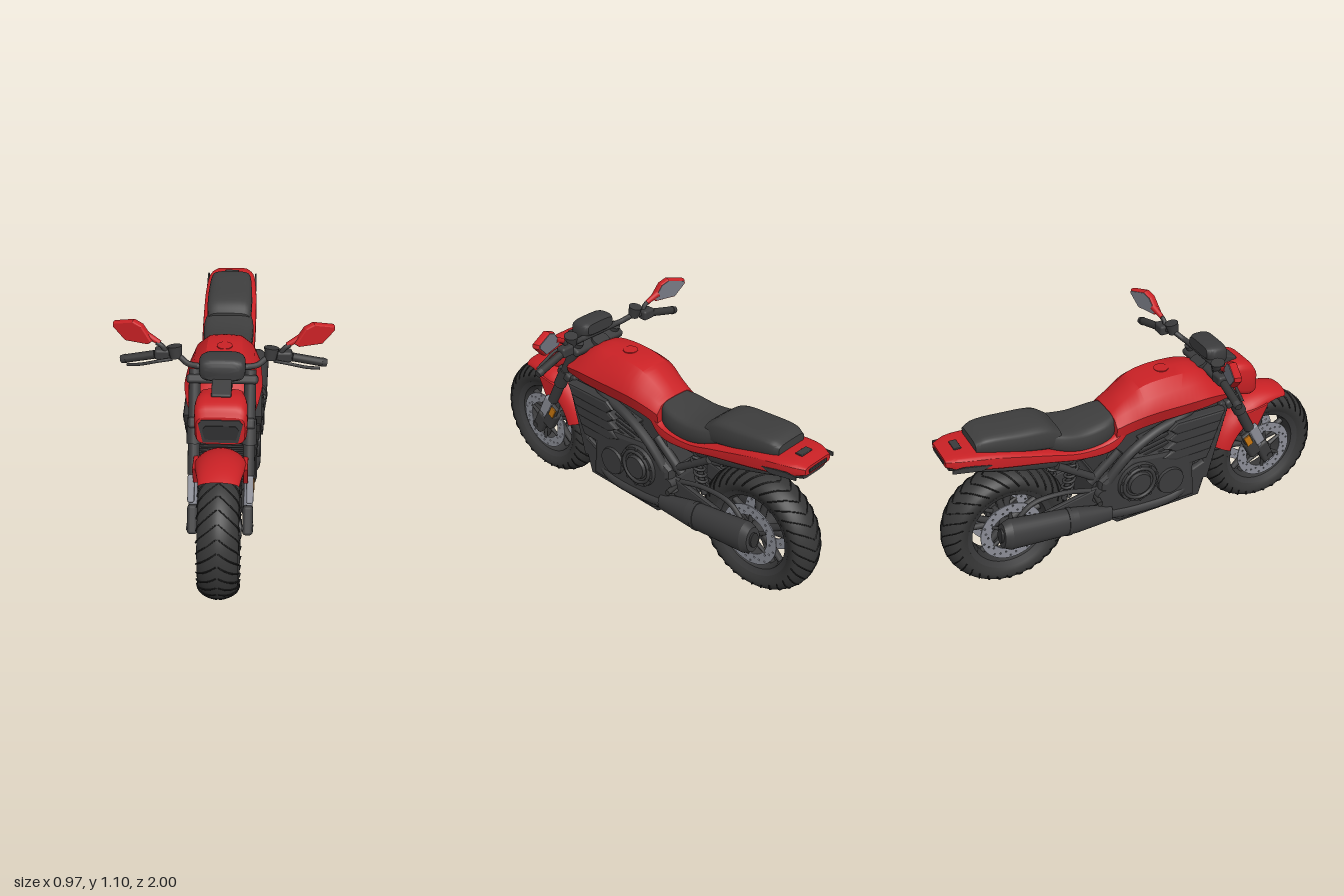
import * as THREE from 'three';
import { toCreasedNormals } from 'three/addons/utils/BufferGeometryUtils.js';
import { RoundedBoxGeometry } from 'three/addons/geometries/RoundedBoxGeometry.js';
import { ParametricGeometry } from 'three/addons/geometries/ParametricGeometry.js';

const V = (x, y, z) => new THREE.Vector3(x, y, z);
const mat = (name, color, side = THREE.FrontSide) => {
  const m = new THREE.MeshStandardMaterial({ color, side });
  m.name = name;
  return m;
};

// cylinder between two points
function rod(a, b, r1, r2 = r1, sides = 16) {
  const A = V(...a), B = V(...b), d = B.clone().sub(A);
  const g = new THREE.CylinderGeometry(r2, r1, d.length(), sides);
  g.applyQuaternion(new THREE.Quaternion().setFromUnitVectors(V(0, 1, 0), d.normalize()));
  const c = A.add(B).multiplyScalar(0.5);
  return g.translate(c.x, c.y, c.z);
}
const box = (w, h, d, x, y, z, tilt = 0, r = 0.008) =>
  new RoundedBoxGeometry(w, h, d, 2, r).rotateX(tilt).translate(x, y, z);
const tube = (pts, r, n = 32) =>
  new THREE.TubeGeometry(new THREE.CatmullRomCurve3(pts.map(p => V(...p))), n, r, 10);
const shapeOf = pts => new THREE.Shape(pts.map(p => new THREE.Vector2(...p)));

// side profile given as [z, y], extruded across x and centred on cx
function sidePlate(pts, width, cx = 0, bevel = 0.01) {
  const depth = width - 2 * bevel;
  const g = new THREE.ExtrudeGeometry(shapeOf(pts), { depth, bevelSize: bevel, bevelThickness: bevel, bevelSegments: 2 });
  return g.translate(0, 0, -depth / 2).rotateY(-Math.PI / 2).translate(cx, 0, 0);
}

// rounded-box half outline: [z, top, bottom, half width]
const oval = (z, top, bottom, hw, n = 4) => [z, Array.from({ length: 13 }, (_, i) => {
  const t = i * Math.PI / 12, c = Math.cos(t);
  return [hw * Math.abs(Math.sin(t)) ** (2 / n) * (i % 12 ? 1 : 0),
    (top + bottom) / 2 + (top - bottom) / 2 * Math.sign(c) * Math.abs(c) ** (2 / n)];
})];

// skin over mirrored half outlines, ordered from front to back
function loft(sections, sub = 5, crease = 0.55) {
  const full = sections.map(([z, h]) =>
    [...h, ...h.slice(1, -1).reverse().map(([x, y]) => [-x, y])].map(([x, y]) => V(x, y, z)));
  const n = full[0].length, rows = (sections.length - 1) * sub, pos = [], idx = [];
  const curves = full[0].map((_, j) => new THREE.CatmullRomCurve3(full.map(r => r[j])));
  for (let i = 0; i <= rows; i++) for (const c of curves) pos.push(...c.getPoint(i / rows).toArray());
  for (let i = 0; i < rows; i++) for (let j = 0; j < n; j++) {
    const k = (j + 1) % n, a = i * n + j, b = i * n + k;
    idx.push(a, b, a + n, b, b + n, a + n);
  }
  for (const [i, flip] of [[0, true], [rows, false]]) {
    const c = pos.length / 3, s = i * n, h = n / 2;
    pos.push(0, (pos[s * 3 + 1] + pos[(s + h) * 3 + 1]) / 2, pos[s * 3 + 2]);
    for (let j = 0; j < n; j++) {
      const a = s + j, b = s + (j + 1) % n;
      idx.push(c, flip ? b : a, flip ? a : b);
    }
  }
  const g = new THREE.BufferGeometry();
  g.setAttribute('position', new THREE.Float32BufferAttribute(pos, 3));
  g.setIndex(idx);
  return toCreasedNormals(g, crease);
}

// mirrored copy across x with the corner order restored
function mirrored(geo) {
  const g = geo.index ? geo.toNonIndexed() : geo.clone();
  g.scale(-1, 1, 1);
  for (const a of Object.values(g.attributes)) for (let i = 0; i < a.count; i += 3) for (let k = 0; k < a.itemSize; k++) {
    const t = a.getComponent(i + 1, k);
    a.setComponent(i + 1, k, a.getComponent(i + 2, k));
    a.setComponent(i + 2, k, t);
  }
  return g;
}

export function createModel() {
  const red = mat('red paint', 0xca2125), redOpen = mat('red fender paint', 0xca2125, THREE.DoubleSide);
  const dark = mat('dark metal', 0x3b3b3c), rubber = mat('tyre rubber', 0x363636), groove = mat('tread groove', 0x222222);
  const seatMat = mat('seat cover', 0x3e3e3e), silver = mat('silver metal', 0x8b8d96);
  const glass = mat('mirror glass', 0x777a84), amber = mat('amber reflector', 0xc9770f), lampMat = mat('lamp lens', 0x303031);
  const root = new THREE.Group();
  const add = (name, geo, m, parent = root) => {
    const mesh = new THREE.Mesh(geo, m);
    mesh.name = name;
    parent.add(mesh);
  };
  const pair = (name, geo, m, parent = root) => {
    add(name + 'Left', geo, m, parent);
    add(name + 'Right', mirrored(geo), m, parent);
  };

  // wheels: tyre, tread, rim, spokes and drilled discs
  const wheel = (name, z) => {
    const w = new THREE.Group();
    w.name = name;
    w.position.set(0, 0.309, z);
    root.add(w);
    const half = [[0.2, 0.066], [0.225, 0.081], [0.25, 0.087], [0.272, 0.078], [0.291, 0.055], [0.303, 0.028], [0.308, 0]];
    const spline = new THREE.SplineCurve([...half.map(([r, x]) => new THREE.Vector2(r, -x)),
      ...half.slice(0, -1).reverse().map(([r, x]) => new THREE.Vector2(r, x))]);
    add('tyre', new THREE.LatheGeometry(spline.getPoints(28), 72).rotateZ(Math.PI / 2), rubber, w);
    for (let i = 0; i < 32; i++) {
      const pts = half.slice(2).map(([r, x], k) => {
        const t = i * Math.PI / 16 + k * 0.075;
        return [x + 0.003, r * Math.cos(t), -r * Math.sin(t)];
      });
      pair('treadGroove', new THREE.TubeGeometry(new THREE.CatmullRomCurve3(pts.map(p => V(...p))), 8, 0.0035, 4), groove, w);
    }
    const rim = [[0.185, -0.06], [0.212, -0.074], [0.212, 0.074], [0.185, 0.06], [0.175, 0], [0.185, -0.06]];
    add('rim', toCreasedNormals(new THREE.LatheGeometry(rim.map(p => new THREE.Vector2(...p)), 64).rotateZ(Math.PI / 2), 0.5), dark, w);
    add('hub', rod([-0.095, 0, 0], [0.095, 0, 0], 0.04, 0.04, 24), dark, w);
    for (let i = 0; i < 5; i++) for (const s of [-0.16, 0.16]) {
      const t = i * Math.PI * 0.4;
      add('spoke', rod([0, 0.03 * Math.cos(t), 0.03 * Math.sin(t)],
        [0, 0.19 * Math.cos(t + s), 0.19 * Math.sin(t + s)], 0.02, 0.014, 8), dark, w);
    }
    const ring = new THREE.Shape().absarc(0, 0, 0.152, 0, Math.PI * 2);
    ring.holes.push(new THREE.Path().absarc(0, 0, 0.1, 0, Math.PI * 2));
    for (let i = 0; i < 30; i++) {
      const t = i * Math.PI / 15, r = [0.116, 0.128, 0.14][i % 3];
      ring.holes.push(new THREE.Path().absarc(r * Math.cos(t), r * Math.sin(t), 0.0045, 0, Math.PI * 2));
    }
    const disc = new THREE.ExtrudeGeometry(ring, { depth: 0.006, bevelEnabled: false, curveSegments: 24 });
    pair('brakeDisc', disc.rotateY(Math.PI / 2).translate(0.074, 0, 0), silver, w);
    for (let i = 0; i < 6; i++) {
      const t = i * Math.PI / 3;
      pair('discCarrier', rod([0.077, 0, 0], [0.077, 0.108 * Math.cos(t), 0.108 * Math.sin(t)], 0.014, 0.008, 8), dark, w);
    }
  };
  wheel('frontWheel', 0.69);
  wheel('rearWheel', -0.692);

  // front fender arched over the tyre
  add('frontFender', new ParametricGeometry((u, v, p) => {
    const t = (70 + 90 * u) * Math.PI / 180, s = (v * 2 - 1) * Math.PI / 2, bulge = Math.sin(Math.PI * u);
    const w = 0.085 + 0.03 * Math.min(1, u * 2.5);
    const r = 0.338 + 0.01 * bulge - (0.03 + 0.07 * Math.min(1, u * 1.6)) * (1 - Math.cos(s));
    p.set(w * Math.sin(s), 0.309 + r * Math.sin(t), 0.69 + r * Math.cos(t));
  }, 24, 20), redOpen);
  pair('fenderBracket', sidePlate([[0.67, 0.6], [0.54, 0.58], [0.57, 0.47], [0.62, 0.5]], 0.02, 0.108, 0.004), red);

  // forks, clamps and brake calipers
  const tilt = -0.47;
  pair('forkTube', rod([0.12, 0.5, 0.565], [0.12, 0.91, 0.355], 0.026), dark);
  pair('forkCollar', rod([0.12, 0.62, 0.504], [0.12, 0.72, 0.452], 0.032), dark);
  pair('forkSlider', rod([0.12, 0.36, 0.638], [0.12, 0.5, 0.565], 0.019), silver);
  pair('forkGuard', box(0.03, 0.12, 0.05, 0.128, 0.455, 0.605, tilt), silver);
  pair('axleClamp', box(0.045, 0.13, 0.065, 0.12, 0.335, 0.665, tilt, 0.015), dark);
  pair('brakeCaliper', box(0.05, 0.11, 0.07, 0.115, 0.38, 0.59, -0.5, 0.015), dark);
  pair('reflectorMount', box(0.022, 0.075, 0.045, 0.128, 0.44, 0.555, tilt), dark);
  pair('reflector', box(0.008, 0.06, 0.034, 0.142, 0.44, 0.553, tilt, 0.003), amber);
  add('frontAxle', rod([-0.145, 0.309, 0.69], [0.145, 0.309, 0.69], 0.016), dark);
  add('upperClamp', box(0.31, 0.04, 0.08, 0, 0.87, 0.37, tilt, 0.015), dark);
  add('lowerClamp', box(0.29, 0.05, 0.09, 0, 0.7, 0.455, tilt, 0.015), dark);
  add('steeringHead', rod([0, 0.66, 0.44], [0, 0.89, 0.33], 0.045), dark);

  // headlight shell and lens
  add('headlightShell', loft([oval(0.6, 0.815, 0.682, 0.103, 5), oval(0.575, 0.85, 0.675, 0.112, 5),
    oval(0.51, 0.868, 0.69, 0.112, 5), oval(0.43, 0.855, 0.75, 0.095, 5)]), red);
  const lens = (w1, w2, y1, y2) => new THREE.ExtrudeGeometry(shapeOf([[-w2, y1], [w2, y1], [w1, y2 - 0.02], [w1 - 0.015, y2],
    [0.015 - w1, y2], [-w1, y2 - 0.02]]), { depth: 0.006, bevelEnabled: false });
  add('headlightLens', lens(0.094, 0.075, 0.692, 0.802).translate(0, 0, 0.598), dark);
  add('headlightInner', lens(0.078, 0.066, 0.708, 0.775).translate(0, 0, 0.601), lampMat);
  add('dashBracket', box(0.085, 0.05, 0.13, 0, 0.875, 0.455, 0.35), dark);
  add('dashCowl', loft([oval(0.44, 0.96, 0.9, 0.075), oval(0.425, 0.985, 0.89, 0.095), oval(0.36, 0.992, 0.905, 0.098), oval(0.33, 0.985, 0.93, 0.08)]), dark);

  // handlebars, controls and mirrors
  add('handlebarCentre', rod([-0.11, 0.92, 0.35], [0.11, 0.92, 0.35], 0.014), dark);
  pair('handlebar', tube([[0.1, 0.92, 0.35], [0.15, 0.925, 0.34], [0.2, 0.95, 0.31], [0.27, 0.943, 0.285], [0.44, 0.905, 0.27]], 0.013), dark);
  pair('grip', rod([0.3, 0.937, 0.283], [0.435, 0.906, 0.27], 0.019), rubber);
  pair('barEnd', rod([0.43, 0.907, 0.27], [0.452, 0.902, 0.268], 0.021, 0.017), dark);
  pair('switchBox', box(0.07, 0.05, 0.05, 0.265, 0.945, 0.285, 0, 0.012), dark);
  pair('fluidReservoir', rod([0.205, 0.94, 0.315], [0.21, 0.993, 0.305], 0.025, 0.033, 12), dark);
  pair('lever', tube([[0.22, 0.935, 0.32], [0.28, 0.932, 0.335], [0.36, 0.91, 0.325], [0.42, 0.898, 0.31]], 0.007), dark);
  pair('mirrorStem', tube([[0.245, 0.95, 0.295], [0.265, 0.985, 0.295], [0.29, 1.0, 0.29]], 0.011), dark);
  pair('mirrorArm', rod([0.275, 0.998, 0.29], [0.335, 1.03, 0.275], 0.011, 0.016), red);
  const face = k => shapeOf([[-0.09, -0.04], [-0.045, 0.028], [-0.005, 0.046], [0.09, 0.024], [0.092, 0.01], [0.035, -0.05], [-0.075, -0.052]].map(([x, y]) => [x * k, y * k]));
  const setMirror = g => g.rotateY(0.3).translate(0.392, 1.047, 0.262);
  pair('mirrorShell', setMirror(new THREE.ExtrudeGeometry(face(0.93), { depth: 0.006, bevelSize: 0.006, bevelThickness: 0.014, bevelSegments: 4 })), red);
  pair('mirrorGlass', setMirror(new THREE.ExtrudeGeometry(face(0.9), { depth: 0.004, bevelEnabled: false }).translate(0, 0, -0.017)), glass);

  // fuel tank with shoulder creases
  add('fuelTank', loft([
    [0.41, [[0, 0.8], [0.08, 0.8], [0.125, 0.79], [0.155, 0.765], [0.145, 0.735], [0, 0.73]]],
    [0.3, [[0, 0.888], [0.07, 0.88], [0.125, 0.845], [0.172, 0.785], [0.155, 0.728], [0, 0.72]]],
    [0.2, [[0, 0.904], [0.08, 0.896], [0.135, 0.855], [0.172, 0.785], [0.15, 0.72], [0, 0.715]]],
    [0, [[0, 0.893], [0.075, 0.886], [0.13, 0.84], [0.157, 0.775], [0.135, 0.705], [0, 0.7]]],
    [-0.1, [[0, 0.836], [0.065, 0.83], [0.11, 0.795], [0.138, 0.75], [0.125, 0.685], [0, 0.68]]],
    [-0.165, [[0, 0.782], [0.06, 0.78], [0.1, 0.765], [0.128, 0.73], [0.118, 0.66], [0, 0.66]]]]), red);
  add('fuelCap', rod([0, 0.88, 0.13], [0, 0.907, 0.13], 0.035, 0.035, 24), red);

  // tail rail, seats and undertail
  add('tailRail', loft([oval(-0.1, 0.73, 0.68, 0.12, 5), oval(-0.18, 0.685, 0.61, 0.128, 5), oval(-0.34, 0.67, 0.615, 0.132, 5),
    oval(-0.52, 0.72, 0.655, 0.135, 5), oval(-0.75, 0.787, 0.7, 0.132, 5), oval(-0.9, 0.805, 0.735, 0.115, 5), oval(-0.965, 0.797, 0.757, 0.085, 5)]), red);
  add('riderSeat', loft([oval(-0.145, 0.783, 0.67, 0.085), oval(-0.2, 0.773, 0.645, 0.112), oval(-0.32, 0.762, 0.64, 0.122),
    oval(-0.42, 0.775, 0.67, 0.122), oval(-0.5, 0.8, 0.7, 0.1)]), seatMat);
  add('passengerSeat', loft([oval(-0.43, 0.79, 0.69, 0.105), oval(-0.49, 0.832, 0.7, 0.112), oval(-0.63, 0.85, 0.73, 0.112),
    oval(-0.78, 0.857, 0.77, 0.1), oval(-0.825, 0.84, 0.78, 0.085)]), seatMat);
  add('undertail', loft([oval(-0.22, 0.66, 0.585, 0.1), oval(-0.45, 0.68, 0.585, 0.1), oval(-0.75, 0.73, 0.665, 0.1), oval(-0.95, 0.775, 0.728, 0.078)]), dark);
  pair('tailSideInsert', sidePlate([[-0.77, 0.742], [-0.9, 0.768], [-0.95, 0.77], [-0.95, 0.755], [-0.82, 0.728]], 0.008, 0.127, 0.002).rotateY(0), dark);
  add('tailLamp', box(0.12, 0.018, 0.008, 0, 0.775, -0.966, 0, 0.003), lampMat);
  add('tailHandle', box(0.07, 0.008, 0.035, 0, 0.808, -0.89, 0.05, 0.003), dark);

  // engine block, belly and radiator
  add('engineCore', sidePlate([[0.39, 0.72], [0.27, 0.24], [-0.18, 0.23], [-0.28, 0.28], [-0.27, 0.42], [-0.18, 0.64], [-0.1, 0.7]], 0.22), dark);
  add('crankcase', sidePlate([[0.2, 0.5], [0.22, 0.25], [-0.16, 0.24], [-0.25, 0.3], [-0.24, 0.46], [-0.1, 0.54]], 0.31, 0, 0.025), dark);
  add('bellyPan', sidePlate([[0.33, 0.4], [0.27, 0.215], [-0.17, 0.21], [-0.24, 0.27], [0.1, 0.3]], 0.27, 0, 0.015), dark);
  add('radiator', box(0.27, 0.42, 0.05, 0, 0.5, 0.355, 0.26), dark);
  for (let i = 0; i < 14; i++) add('radiatorSlat', box(0.24, 0.008, 0.012, 0, 0.33 + i * 0.026, 0.342 + i * 0.0069, 0.26, 0.003), lampMat);

  // stacked side shrouds
  for (let i = 0; i < 5; i++) {
    const y = 0.665 - i * 0.052, f = 0.375 - i * 0.014, w = 0.175 - i * 0.005;
    pair('sideShroud', sidePlate([[f, y + 0.02], [f - 0.02, y - 0.018], [0.13, y - 0.022], [0.1 - i * 0.01, y], [0.13, y + 0.02]], 0.06, w - 0.03, 0.012), dark);
  }
  for (let i = 0; i < 6; i++) add('cylinderFin', box(0.28, 0.011, 0.16, 0, 0.535 + i * 0.025, 0.02, -0.2, 0.003), dark);

  // round engine covers with bolts
  pair('clutchCover', rod([0.13, 0.425, -0.075], [0.172, 0.425, -0.075], 0.112, 0.102, 36), dark);
  pair('clutchRing', new THREE.TorusGeometry(0.08, 0.009, 8, 36).rotateY(Math.PI / 2).translate(0.174, 0.425, -0.075), dark);
  pair('clutchCap', rod([0.17, 0.425, -0.075], [0.186, 0.425, -0.075], 0.062, 0.055, 28), dark);
  pair('alternatorCover', rod([0.13, 0.37, 0.1], [0.168, 0.37, 0.1], 0.078, 0.068, 28), dark);
  pair('pivotCover', rod([0.1, 0.4, -0.255], [0.155, 0.4, -0.255], 0.035, 0.03, 20), dark);
  for (let i = 0; i < 10; i++) {
    const t = i * Math.PI / 5, y = 0.425 + 0.096 * Math.cos(t), z = -0.075 + 0.096 * Math.sin(t);
    pair('coverBolt', rod([0.165, y, z], [0.18, y, z], 0.007, 0.007, 6), dark);
  }

  // frame beams, swingarm, shock and foot pegs
  pair('frameBeam', tube([[0.05, 0.76, 0.36], [0.12, 0.7, 0.2], [0.142, 0.66, 0.02], [0.145, 0.59, -0.11], [0.135, 0.49, -0.2], [0.125, 0.36, -0.28]], 0.024), dark);
  pair('downTube', tube([[0.06, 0.72, 0.38], [0.125, 0.5, 0.24], [0.135, 0.34, 0.2], [0.12, 0.23, 0.12]], 0.017), dark);
  pair('subframe', rod([0.105, 0.46, -0.24], [0.1, 0.61, -0.46], 0.018), dark);
  pair('subframeStrut', rod([0.11, 0.6, -0.15], [0.1, 0.46, -0.3], 0.022), dark);
  pair('swingarm', sidePlate([[-0.22, 0.43], [-0.22, 0.35], [-0.67, 0.275], [-0.74, 0.29], [-0.74, 0.335], [-0.66, 0.345]], 0.028, 0.108), dark);
  pair('swingarmBrace', tube([[0.108, 0.42, -0.3], [0.108, 0.455, -0.45], [0.108, 0.445, -0.6], [0.108, 0.34, -0.71]], 0.012), dark);
  add('rearAxle', rod([-0.125, 0.309, -0.692], [0.125, 0.309, -0.692], 0.018), dark);
  const coil = Array.from({ length: 49 }, (_, i) => {
    const t = i * Math.PI / 4, k = i / 48;
    return [0.085 + 0.025 * Math.cos(t), 0.42 + 0.17 * k, -0.42 + 0.05 * k + 0.025 * Math.sin(t)];
  });
  pair('shockSpring', tube(coil, 0.007, 96), dark);
  pair('shockBody', rod([0.085, 0.4, -0.425], [0.085, 0.62, -0.365], 0.014), dark);
  pair('footPeg', rod([0.12, 0.39, -0.28], [0.19, 0.39, -0.29], 0.013), rubber);

  // exhaust headers and mufflers
  pair('exhaustHeader', tube([[0.07, 0.5, 0.3], [0.1, 0.33, 0.26], [0.14, 0.265, 0.14], [0.145, 0.26, -0.08], [0.14, 0.285, -0.26]], 0.027), dark);
  const can = (r1, r2, z1, z2) => {
    const y = z => 0.29 - (z + 0.26) * 0.13;
    return rod([0, y(z1), z1], [0, y(z2), z2], r1, r2, 32).scale(0.76, 1, 1).translate(0.146, 0, 0);
  };
  pair('mufflerNeck', can(0.042, 0.066, -0.22, -0.4), dark);
  pair('muffler', can(0.066, 0.077, -0.4, -0.73), dark);
  pair('mufflerBand', can(0.071, 0.072, -0.43, -0.45), dark);
  pair('mufflerEnd', can(0.077, 0.06, -0.73, -0.765), dark);
  pair('mufflerOutlet', can(0.035, 0.035, -0.76, -0.775), lampMat);
  return root;
}
